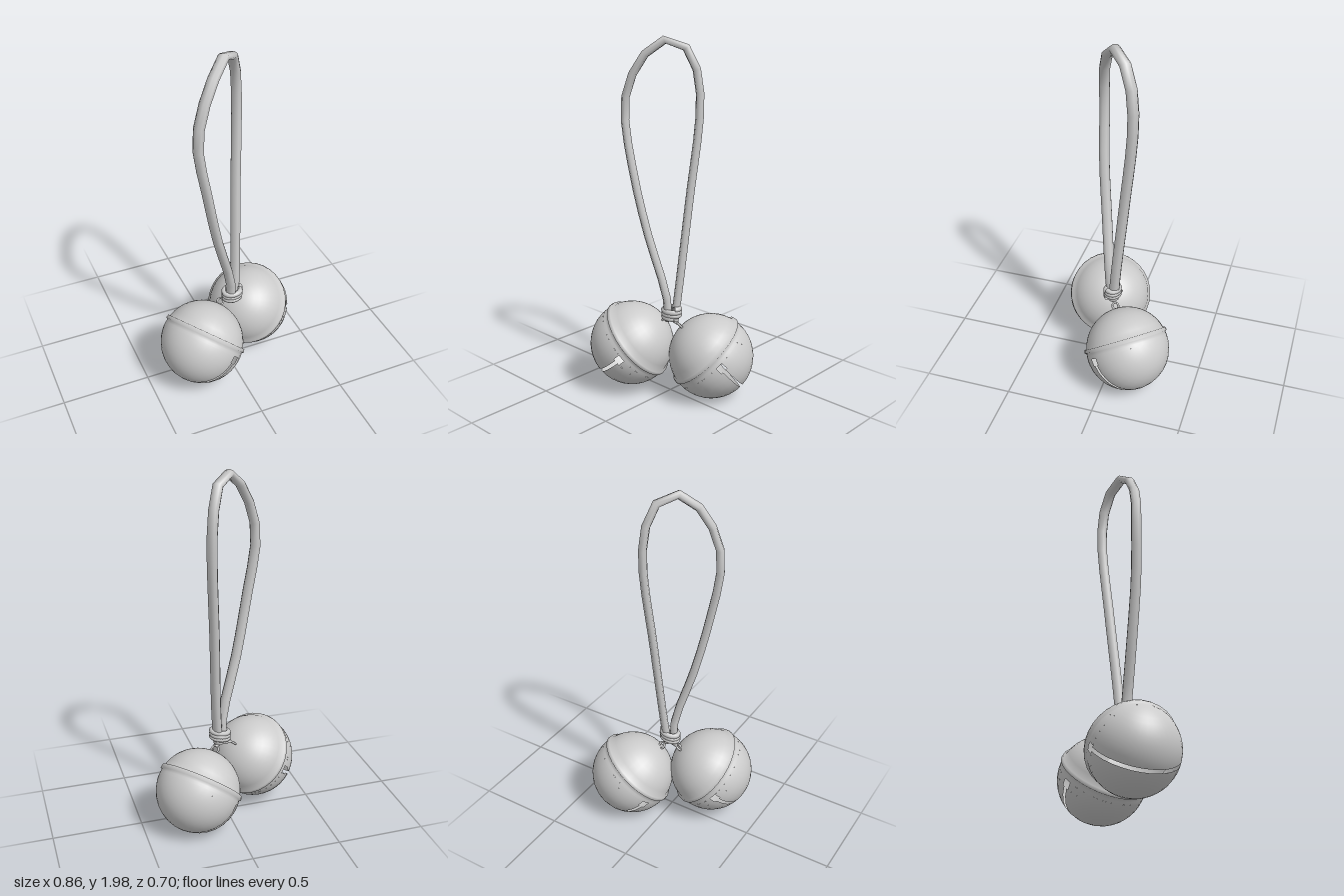
import * as THREE from 'three';

const V = (x, y, z) => new THREE.Vector3(x, y, z);
const mat = new THREE.MeshStandardMaterial({ color: 0xcccccc, side: THREE.DoubleSide });
const R = 0.235; // bell radius

function add(parent, name, geometry) {
  const mesh = new THREE.Mesh(geometry, mat);
  mesh.name = name;
  parent.add(mesh);
  return mesh;
}

// Hollow bell: local +y points to the hanging ring, local x runs along the slot.
function makeBell(name, center, axis, slotDir) {
  const bell = new THREE.Group();
  bell.name = name;

  // Upper dome with the raised seam slightly above the equator
  const seam = 0.2;
  const at = (angle, r = R) => new THREE.Vector2(r * Math.cos(angle), r * Math.sin(angle));
  const profile = [at(0), at(0.07), at(seam - 0.06), at(seam - 0.045, R + 0.01),
    at(seam + 0.035, R + 0.01), at(seam + 0.05)];
  for (let i = 1; i <= 9; i++) {
    profile.push(at(seam + 0.05 + (Math.PI / 2 - seam - 0.05) * i / 9));
  }
  profile[profile.length - 1].x = 0;
  add(bell, 'upperDome', new THREE.LatheGeometry(profile, 32));

  // Lower dome: two mirrored halves leave a slot that widens to a square hole at each end
  const hole = 0.17;
  const panels = [
    [0, hole, 0.09, 2],
    [hole, Math.PI - 2 * hole, 0.04, 14],
    [Math.PI - hole, hole, 0.09, 2],
  ];
  for (const turn of [0, Math.PI]) {
    for (const [start, length, halfGap, segments] of panels) {
      const g = new THREE.SphereGeometry(R, segments, 10, start, length, 0, Math.PI / 2 - halfGap);
      add(bell, 'lowerDome', g.rotateX(Math.PI / 2).rotateY(turn));
    }
  }

  // Hanging ring
  const ring = add(bell, 'hangingRing', new THREE.TorusGeometry(0.02, 0.006, 8, 14));
  ring.position.y = R + 0.013;

  const y = axis.clone().normalize();
  const x = slotDir.clone().addScaledVector(y, -slotDir.dot(y)).normalize();
  const z = x.clone().cross(y);
  bell.quaternion.setFromRotationMatrix(new THREE.Matrix4().makeBasis(x, y, z));
  bell.position.copy(center);
  return bell;
}

function makeStrap() {
  const path = new THREE.CatmullRomCurve3([
    V(0.01, 0.45, 0.03), V(0.01, 0.58, 0.04), V(-0.09, 0.95, 0.088), V(-0.155, 1.26, 0.12),
    V(-0.207, 1.58, 0.13), V(-0.185, 1.73, 0.125), V(-0.1, 1.9, 0.08), V(0, 1.975, 0),
    V(0.06, 1.925, -0.06), V(0.095, 1.8, -0.103), V(0.105, 1.61, -0.112),
    V(0.08, 1.13, -0.062), V(0.055, 0.62, -0.005), V(0.04, 0.45, 0.01),
  ]);
  const g = new THREE.TubeGeometry(path, 26, 0.022, 8);
  // Widen the round section across the plane of the loop
  const side = V(0.62, 0, 0.78);
  const p = g.attributes.position, n = g.attributes.normal;
  const point = V(0, 0, 0), normal = V(0, 0, 0);
  for (let i = 0; i < p.count; i++) {
    point.fromBufferAttribute(p, i);
    normal.fromBufferAttribute(n, i);
    point.addScaledVector(side, normal.dot(side) * 0.009);
    p.setXYZ(i, point.x, point.y, point.z);
  }
  return g;
}

export function createModel() {
  const model = new THREE.Group();
  model.name = 'bellStrap';

  const bells = [
    makeBell('rightBell', V(-0.197, 0.277, 0.108), V(0.63, 0.66, -0.41), V(0.52, 0.03, 0.85)),
    makeBell('leftBell', V(0.197, 0.244, -0.12), V(-0.53, 0.71, 0.45), V(0.78, 0.17, 0.6)),
  ];
  model.add(...bells);

  add(model, 'strapLoop', makeStrap());

  // Cord wound three times around the strap ends
  const coil = [];
  for (let i = 0; i <= 36; i++) {
    const a = (i / 36) * Math.PI * 6 + 0.6;
    coil.push(V(0.027 + 0.048 * Math.cos(a), 0.468 + 0.056 * i / 36 + 0.004 * Math.cos(a),
      0.02 + 0.037 * Math.sin(a)));
  }
  add(model, 'wrapping', new THREE.TubeGeometry(new THREE.CatmullRomCurve3(coil), 60, 0.015, 8));

  // Thin cord from each bell ring up into the wrapping
  for (const bell of bells) {
    const ringTop = V(0, R + 0.028, 0).applyQuaternion(bell.quaternion).add(bell.position);
    const cord = new THREE.CatmullRomCurve3([ringTop, V(0.025, 0.455, 0.015), V(0.027, 0.5, 0.02)]);
    add(model, 'bellCord', new THREE.TubeGeometry(cord, 8, 0.01, 8));
  }
  return model;
}
